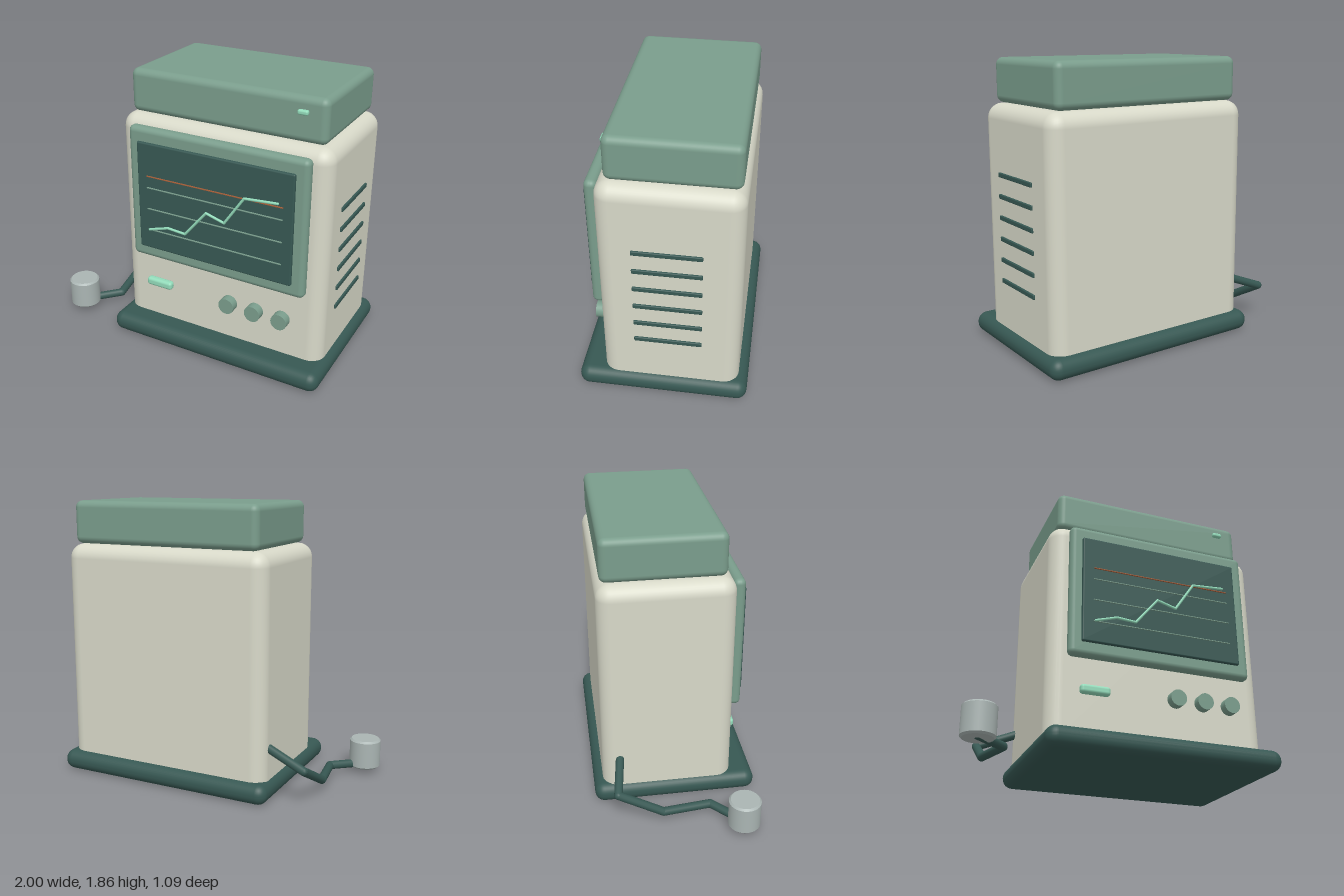
import * as THREE from 'three';
import { RoundedBoxGeometry } from 'three/addons/geometries/RoundedBoxGeometry.js';

const mat = (name, color) => {
  const m = new THREE.MeshStandardMaterial({ color });
  m.name = name;
  return m;
};

export function createModel() {
  const cream = mat('cream casing', 0xd8d9c9);
  const sage = mat('sage green', 0x7a9d8c);
  const dark = mat('dark teal', 0x375853);
  const mint = mat('mint light', 0x93dbba);
  const orange = mat('orange limit', 0xa85f38);
  const silver = mat('silver grey', 0xaab5b3);

  const model = new THREE.Group();
  model.name = 'monitor';
  const add = (name, geometry, material, parent = model) => {
    const mesh = new THREE.Mesh(geometry, material);
    mesh.name = name;
    parent.add(mesh);
    return mesh;
  };
  const group = (name) => {
    const g = new THREE.Group();
    g.name = name;
    model.add(g);
    return g;
  };
  // Rounded box given by its lower and upper limits on each axis
  const block = (name, [x0, x1], [y0, y1], [z0, z1], r, material, parent) => {
    const mesh = add(name, new RoundedBoxGeometry(x1 - x0, y1 - y0, z1 - z0, 4, r), material, parent);
    mesh.position.set((x0 + x1) / 2, (y0 + y1) / 2, (z0 + z1) / 2);
    return mesh;
  };
  // Straight rods between points, with balls at the bends
  const rods = (points, r, material, parent) => {
    const pts = points.map((p) => new THREE.Vector3(...p));
    pts.forEach((p, i) => {
      add('joint', new THREE.SphereGeometry(r, 12, 8), material, parent).position.copy(p);
      if (!i) return;
      const d = p.clone().sub(pts[i - 1]);
      const rod = add('segment', new THREE.CylinderGeometry(r, r, d.length(), 12), material, parent);
      rod.position.copy(p).add(pts[i - 1]).multiplyScalar(0.5);
      rod.quaternion.setFromUnitVectors(new THREE.Vector3(0, 1, 0), d.normalize());
    });
  };

  // Casing
  block('base', [-0.535, 1], [0, 0.135], [-0.545, 0.545], 0.065, dark);
  block('body', [-0.5, 0.955], [0.03, 1.575], [-0.485, 0.385], 0.095, cream);
  block('lid', [-0.44, 0.895], [1.578, 1.86], [-0.457, 0.328], 0.045, sage);
  block('lidLamp', [0.713, 0.78], [1.755, 1.786], [0.322, 0.354], 0.012, mint);

  // Screen
  block('bezel', [-0.39, 0.85], [0.615, 1.53], [0.375, 0.454], 0.035, sage);
  block('screen', [-0.315, 0.772], [0.702, 1.44], [0.43, 0.473], 0.01, dark);

  // Chart on the screen
  const chart = group('chart');
  const line = (name, y, material) => {
    add(name, new THREE.BoxGeometry(0.95, 0.005, 0.009), material, chart).position.set(0.232, y, 0.4775);
  };
  for (const y of [0.842, 0.992, 1.14]) line('gridLine', y, sage);
  line('limitLine', 1.22, orange);
  const trace = [[-0.23, 0.845], [-0.09, 0.888], [0.037, 0.878], [0.192, 1.064],
    [0.32, 1.027], [0.455, 1.225], [0.674, 1.242]];
  rods(trace.map(([x, y]) => [x, y, 0.483]), 0.0085, mint, chart);

  // Front controls
  block('button', [-0.305, -0.112], [0.38, 0.437], [0.385, 0.437], 0.02, mint);
  for (const x of [0.326, 0.513, 0.7]) {
    const knob = add('knob', new THREE.CylinderGeometry(0.054, 0.054, 0.058, 32), sage);
    knob.rotation.x = Math.PI / 2;
    knob.position.set(x, 0.416, 0.439);
  }

  // Side vents
  for (let i = 0; i < 6; i++) {
    const y = 0.448 + i * 0.138;
    block('vent', [0.94, 0.967], [y - 0.015, y + 0.015], [-0.251, 0.172], 0.006, dark);
  }

  // Cable and cup-shaped sensor
  const cable = group('cable');
  rods([[-0.46, 0.35, -0.367], [-0.745, 0.24, -0.41], [-0.762, 0.085, -0.12],
    [-0.705, 0.064, 0.2], [-0.895, 0.056, 0.385]], 0.028, dark, cable);
  const r = 0.105, b = 0.012;
  const profile = [[0, -0.1], [r - b, -0.1], [r, -0.1 + b], [r, 0.1 - b], [r - b, 0.1], [0, 0.1]];
  // Doubled points keep the cup's edges crisp
  const cupPoints = profile.flatMap(([x, y]) => (x ? [[x, y], [x, y]] : [[x, y]]))
    .map(([x, y]) => new THREE.Vector2(x, y));
  const cup = group('sensor');
  for (let i = 0; i < cupPoints.length - 1; i++) {
    if (cupPoints[i].equals(cupPoints[i + 1])) continue;
    add('sensorShell', new THREE.LatheGeometry([cupPoints[i], cupPoints[i + 1]], 32), silver, cup);
  }
  cup.position.set(-0.895, 0.135, 0.385);

  return model;
}
